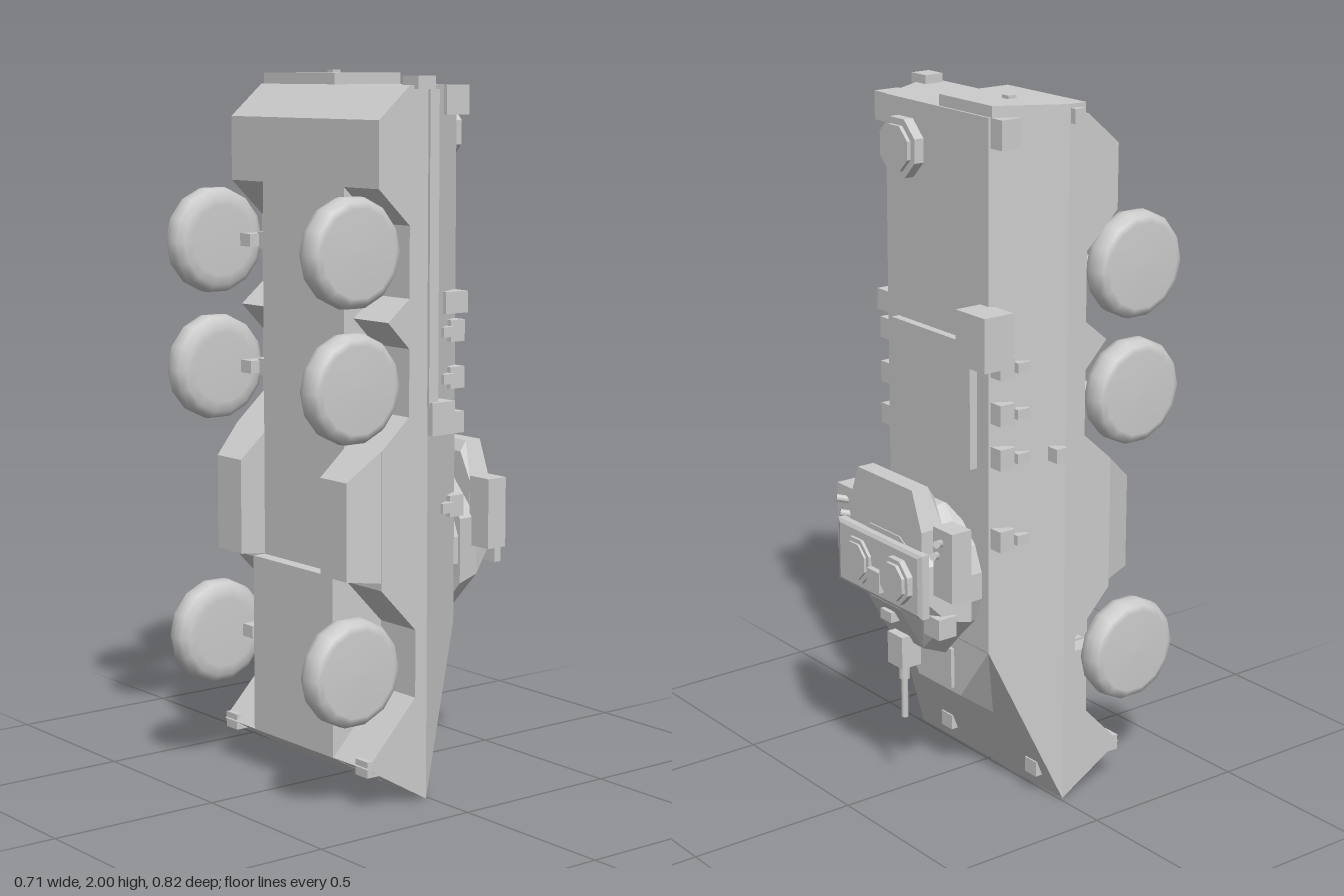
import * as THREE from 'three';
import { ConvexGeometry } from 'three/addons/geometries/ConvexGeometry.js';

// Armoured carrier standing on its nose: length along y, roof towards -z, wheels towards +z.
export function createModel() {
  const model = new THREE.Group();
  const grey = new THREE.MeshStandardMaterial({ color: 0xcccccc });
  grey.name = 'plain grey';

  const add = (name, geometry) => {
    const mesh = new THREE.Mesh(geometry, grey);
    mesh.name = name;
    model.add(mesh);
    return mesh;
  };
  const box = (name, x0, x1, y0, y1, z0, z1) =>
    add(name, new THREE.BoxGeometry(x1 - x0, y1 - y0, z1 - z0))
      .position.set((x0 + x1) / 2, (y0 + y1) / 2, (z0 + z1) / 2);
  const convex = (name, pts) =>
    add(name, new ConvexGeometry(pts.map(p => new THREE.Vector3(...p))));
  const mirrored = pts => pts.flatMap(([x, y, z]) => [[x, y, z], [-x, y, z]]);
  // Side profile of [y, z] points, extruded from x0 to x1
  const profile = (name, pts, x0, x1) => {
    const shape = new THREE.Shape(pts.map(([y, z]) => new THREE.Vector2(z, y)));
    const g = new THREE.ExtrudeGeometry(shape, { depth: x1 - x0, bevelEnabled: false });
    add(name, g.rotateY(-Math.PI / 2).translate(x1, 0, 0));
  };
  // Flat prism with its axis along z
  const disc = (name, x, y, z0, z1, r, sides) => {
    const g = new THREE.CylinderGeometry(r, r, z1 - z0, sides).toNonIndexed();
    g.rotateX(Math.PI / 2).rotateZ(Math.PI / sides);
    g.computeVertexNormals();
    add(name, g).position.set(x, y, (z0 + z1) / 2);
  };

  // Hull
  convex('upperHull', mirrored([
    [0.335, 0, 0.01], [0.335, 1.96, 0.01], [0.23, 0.46, -0.175], [0.23, 1.96, -0.175],
  ]));
  profile('keel', [[0, 0.01], [0.12, 0.22], [0.63, 0.22], [0.63, 0.18], [1.87, 0.18],
    [1.96, 0.075], [1.96, 0.01]], -0.185, 0.185);
  const sponson = [[0, 0.01], [0.12, 0.218], [0.295, 0.05], [0.485, 0.05], [0.61, 0.17],
    [0.99, 0.17], [1.075, 0.075], [1.26, 0.075], [1.335, 0.148], [1.395, 0.075],
    [1.59, 0.075], [1.69, 0.18], [1.87, 0.18], [1.96, 0.075], [1.96, 0.01]];
  profile('leftSponson', sponson, 0.185, 0.335);
  profile('rightSponson', sponson, -0.335, -0.185);

  // Raised driver housing on the sloped nose
  convex('driverHousing', mirrored([
    [0.23, 0.46, -0.174], [0.1, 0.285, -0.174], [0.13, 0.2, -0.055], [0.13, 0.45, -0.1],
  ]));
  box('driverHatch', -0.07, 0.07, 0.3, 0.42, -0.185, -0.17);

  // Wheels, axles and side bins
  const tyre = [[0, 0], [0.1, 0], [0.128, 0.004], [0.146, 0.018], [0.151, 0.04],
    [0.149, 0.065], [0.138, 0.082], [0.12, 0.087], [0, 0.089]]
    .map(([r, h]) => new THREE.Vector2(r, h));
  for (const s of [1, -1]) {
    for (const y of [0.395, 1.165, 1.525]) {
      const wheel = add('wheel', new THREE.LatheGeometry(tyre, 14));
      wheel.rotation.z = -s * Math.PI / 2;
      wheel.position.set(s * 0.268, y, 0.259);
      const span = (a, b) => (s > 0 ? [a, b] : [-b, -a]);
      box('axleInner', ...span(0.18, 0.225), y - 0.024, y + 0.024, 0.085, 0.17);
      box('axleOuter', ...span(0.22, 0.28), y - 0.018, y + 0.018, 0.09, 0.2);
    }
    convex('sideBin', [
      [0.185, 0.63, 0.165], [0.335, 0.63, 0.165], [0.185, 0.995, 0.165], [0.335, 0.995, 0.165],
      [0.185, 0.64, 0.262], [0.3, 0.64, 0.262], [0.185, 0.91, 0.262], [0.3, 0.91, 0.262],
    ].map(([x, y, z]) => [s * x, y, z]));

    // Small fittings along the sloped sides
    for (const y of [0.8, 1.035, 1.16, 1.29]) {
      const span = (a, b) => (s > 0 ? [a, b] : [-b, -a]);
      box('sideFitting', ...span(0.22, 0.277), y - 0.03, y + 0.03, -0.17, -0.12);
      box('sideFittingArm', ...span(0.25, 0.293), y - 0.014, y + 0.014, -0.123, -0.082);
    }
  }

  // Lamps and stowage boxes
  box('leftNoseLamp', 0.28, 0.333, 0.095, 0.14, 0.15, 0.215);
  box('rightNoseLamp', -0.333, -0.28, 0.095, 0.14, 0.15, 0.215);
  box('leftGlacisLamp', 0.13, 0.18, 0.055, 0.1, -0.035, 0.0);
  box('rightGlacisLamp', -0.27, -0.22, 0.055, 0.1, -0.035, 0.0);
  box('leftRearLamp', 0.285, 0.35, 1.95, 1.985, 0, 0.06);
  box('rightRearLamp', -0.353, -0.32, 1.94, 1.98, 0.015, 0.046);
  box('leftRearBox', 0.225, 0.29, 1.88, 1.96, -0.17, -0.09);
  box('rightRearBox', -0.28, -0.22, 1.88, 1.96, -0.17, -0.105);
  box('leftRoofBox', 0.22, 0.29, 1.34, 1.4, -0.17, -0.09);
  box('rightRoofBox', -0.32, -0.195, 1.305, 1.455, -0.258, -0.16);
  box('leftSideBox', 0.295, 0.355, 1.02, 1.11, -0.07, 0.01);
  box('rightSideBox', -0.353, -0.315, 1.02, 1.06, -0.036, 0);
  box('sideRail', 0.32, 0.343, 1.1, 1.95, -0.02, 0.012);

  // Rear door with handle
  const door = new THREE.Shape([[-0.335, 0.01], [-0.235, -0.168], [-0.005, -0.168],
    [-0.005, 0.065], [-0.335, 0.065]].map(([x, z]) => new THREE.Vector2(x, -z)));
  add('rearDoor', new THREE.ExtrudeGeometry(door, { depth: 0.033, bevelEnabled: false })
    .rotateX(-Math.PI / 2).translate(0, 1.958, 0));
  box('doorHandle', -0.182, -0.155, 1.985, 2, -0.072, -0.045);

  // Roof hatches
  box('roofPanel', -0.18, 0.18, 0.99, 1.345, -0.2, -0.17);
  disc('rearHatchBase', 0.137, 1.83, -0.205, -0.17, 0.087, 8);
  disc('rearHatchLid', 0.137, 1.83, -0.216, -0.2, 0.067, 8);

  // Turret: rings stacked towards -z
  const ring = (rx, y0, y1, z, n) => Array.from({ length: n }, (_, i) => {
    const a = (i + 0.5) / n * Math.PI * 2;
    const k = 1 / Math.cos(Math.PI / n);
    return [rx * k * Math.cos(a), (y0 + y1) / 2 + (y1 - y0) / 2 * k * Math.sin(a), z];
  });
  convex('turretRing', [...ring(0.2, 0.455, 0.85, -0.17, 16), ...ring(0.2, 0.455, 0.85, -0.225, 16)]);
  convex('turretBody', [
    ...ring(0.208, 0.425, 0.875, -0.217, 8),
    ...ring(0.195, 0.455, 0.86, -0.29, 8),
    ...ring(0.17, 0.585, 0.8, -0.36, 8),
  ]);
  convex('turretRoof', mirrored([
    [0.2, 0.6, -0.355], [0.2, 0.785, -0.355], [0.2, 0.6, -0.378], [0.2, 0.785, -0.378],
    [0.185, 0.61, -0.384], [0.185, 0.775, -0.384],
  ]));
  convex('turretBustle', mirrored([
    [0.17, 0.77, -0.285], [0.17, 0.77, -0.358], [0.17, 0.84, -0.285], [0.17, 0.84, -0.358],
    [0.128, 0.95, -0.305], [0.128, 0.95, -0.358], [0.128, 0.92, -0.285],
  ]));
  box('turretLeftBox', 0.19, 0.27, 0.66, 0.86, -0.333, -0.268);
  box('turretRightBox', -0.275, -0.19, 0.66, 0.86, -0.333, -0.268);
  box('turretSight', -0.21, -0.14, 0.53, 0.59, -0.33, -0.27);
  box('roofSight', -0.03, 0.03, 0.63, 0.69, -0.402, -0.38);
  box('frontPeriscope', -0.025, 0.025, 0.53, 0.56, -0.36, -0.32);

  // Cupolas
  disc('rightCupolaBase', -0.1, 0.69, -0.402, -0.38, 0.069, 8);
  disc('rightCupolaLid', -0.1, 0.69, -0.412, -0.4, 0.056, 8);
  disc('leftCupolaBase', 0.096, 0.69, -0.393, -0.38, 0.069, 8);
  disc('leftCupolaLid', 0.096, 0.69, -0.4, -0.39, 0.056, 8);

  // Tilted discharger tubes
  for (const s of [1, -1]) {
    for (const i of [0, 1]) {
      const tube = add('dischargerTube', new THREE.CylinderGeometry(0.011, 0.011, 0.07, 8));
      tube.position.set(s * (0.205 + i * 0.017), 0.78 + i * 0.04, -0.328);
      tube.rotation.set(-Math.PI / 2, 0, -s * 0.45, 'ZXY');
      tube.lookAt(tube.position.x + s * 0.035, tube.position.y + 0.015, -0.39);
      tube.rotateX(Math.PI / 2);
    }
  }

  // Gun
  box('gunMantlet', -0.035, 0.035, 0.385, 0.48, -0.33, -0.265);
  add('gunSleeve', new THREE.CylinderGeometry(0.016, 0.016, 0.05, 10)).position.set(0, 0.365, -0.298);
  add('gunBarrel', new THREE.CylinderGeometry(0.01, 0.01, 0.18, 10)).position.set(0, 0.31, -0.298);

  return model;
}
